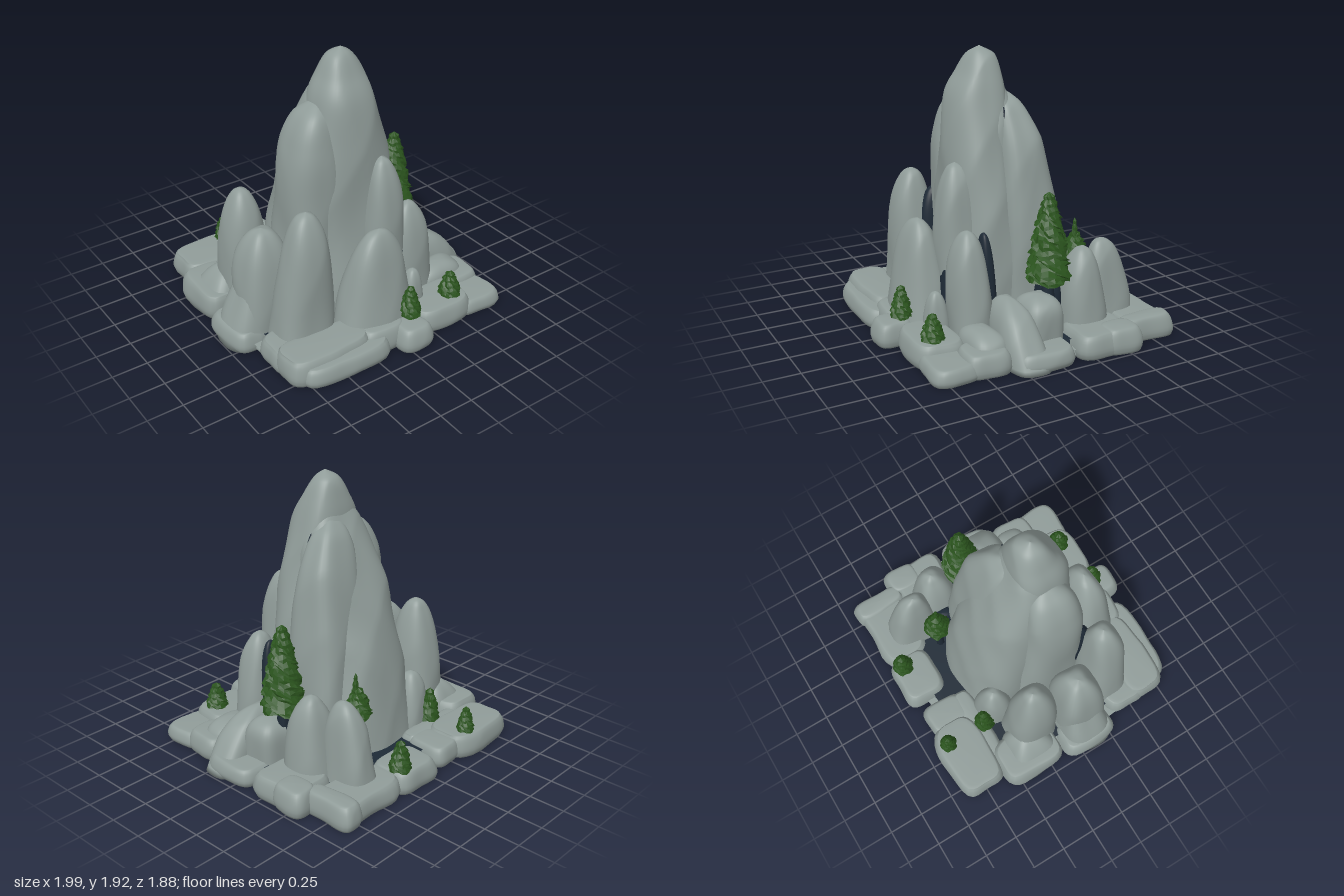
import * as THREE from 'three';

const stone = new THREE.MeshStandardMaterial({ color: 0x909c99 });
stone.name = 'grey stone';
const shade = new THREE.MeshStandardMaterial({ color: 0x1e2a36 });
shade.name = 'dark crevice';
const needles = new THREE.MeshStandardMaterial({ color: 0x2a531d });
needles.name = 'pine green';

// Repeatable bumps with sharp creases, roughly -1..1
const crease = v => 1 - 2 * Math.abs(Math.sin(v));
const bump = (x, y, z, s) =>
  (Math.sin(x * 9 + y * 4 + s) + Math.sin(z * 10 - y * 5 + s * 2.3) +
   crease((x + z) * 7 + y * 3 + s * 1.7) * 0.7 + crease((x - z) * 8 - y * 5 + s * 3.1) * 0.6) / 3;

// Lofts rows of [y, centreX, centreZ, radiusX, radiusZ] into a rock with squarish sections
function loft(name, rows, { n = 2.8, seed = 1, rough = 0.02, rings = 20, sides = 40, mat = stone } = {}) {
  const centres = new THREE.CatmullRomCurve3(rows.map(r => new THREE.Vector3(r[1], r[0], r[2])), false, 'catmullrom', 0.5);
  const radii = new THREE.CatmullRomCurve3(rows.map(r => new THREE.Vector3(r[3], 0, r[4])), false, 'catmullrom', 0.5);
  const pos = [], idx = [];
  const [y0, bx, bz] = rows[0];
  pos.push(bx, y0, bz);
  for (let j = 0; j <= rings; j++) {
    const c = centres.getPoint(j / rings), r = radii.getPoint(j / rings);
    for (let i = 0; i < sides; i++) {
      const a = (i / sides) * Math.PI * 2, ca = Math.cos(a), sa = Math.sin(a);
      const k = Math.pow(Math.abs(ca) ** n + Math.abs(sa) ** n, -1 / n);
      const x = c.x + ca * k * Math.max(r.x, 0), z = c.z + sa * k * Math.max(r.z, 0);
      const d = bump(x, c.y, z, seed) * rough * Math.min(1, Math.max(r.x, 0) / 0.08);
      pos.push(x + ca * d, Math.max(c.y, y0), z + sa * d);
    }
  }
  for (let i = 0; i < sides; i++) {
    const i2 = (i + 1) % sides;
    idx.push(0, 1 + i, 1 + i2);
    for (let j = 0; j < rings; j++) {
      const a = 1 + j * sides + i, b = 1 + j * sides + i2;
      idx.push(a, a + sides, b, b, a + sides, b + sides);
    }
  }
  const g = new THREE.BufferGeometry();
  g.setAttribute('position', new THREE.Float32BufferAttribute(pos, 3));
  g.setIndex(idx);
  g.computeVertexNormals();
  const m = new THREE.Mesh(g, mat);
  m.name = name;
  return m;
}

// Round-topped rock; p sets how late it closes, (lx, lz) shifts its top, flare widens its foot
function dome(name, x, z, rx, rz, h, { p = 2.5, lx = 0, lz = 0, y0 = 0, flare = 0, ...o } = {}) {
  const rows = [0, 0.25, 0.5, 0.7, 0.83, 0.92, 0.975, 1].map(t => {
    const f = Math.sqrt(Math.max(0, 1 - t ** p)) * (1 + flare * (1 - t) ** 2);
    return [y0 + (h - y0) * t, x + lx * t, z + lz * t, rx * f, rz * f];
  });
  return loft(name, rows, { rings: 21, ...o });
}

// Flat slab with a softened rim, given by its extents
function slab(name, x0, x1, z0, z1, h, { y0 = 0, ...o } = {}) {
  const x = (x0 + x1) / 2, z = (z0 + z1) / 2, w = (x1 - x0) / 2, d = (z1 - z0) / 2;
  const rows = [[0, 0.012], [0.3, 0], [0.7, 0.01], [0.94, 0.028], [1, 0.055], [1.02, 1]]
    .map(([t, inset]) => [y0 + (h - y0) * t, x, z, Math.max(w - inset, 0), Math.max(d - inset, 0)]);
  return loft(name, rows, { n: 4.2, rings: 15, ...o });
}

// Pine with drooping, ragged tiers; a low power makes it plump
function pine(name, x, z, y0, y1, r, tiers, power, trunkY) {
  const g = new THREE.Group();
  g.name = name;
  const h = y1 - y0, pts = [new THREE.Vector2(0, 0)];
  const width = t => r * Math.max(0, 1 - t) ** power;
  for (let i = 0; i < tiers; i++) {
    const t = i / tiers, w = width(t) * (i === 0 ? 0.92 : 1);
    pts.push(new THREE.Vector2(w, h * t), new THREE.Vector2(w * 0.92, h * (t + 0.4 / tiers)),
      new THREE.Vector2(width(t + 1 / tiers) * 0.8, h * (t + 0.97 / tiers)));
  }
  pts.push(new THREE.Vector2(0, h));
  const lathe = new THREE.LatheGeometry(pts, 18), p = lathe.attributes.position;
  for (let i = 0; i < p.count; i++) {
    const px = p.getX(i), py = p.getY(i), pz = p.getZ(i), a = Math.atan2(px, pz);
    const k = 1 + 0.08 * Math.sin(a * 5 + py * 60) + 0.05 * Math.sin(a * 8 - py * 95);
    p.setXYZ(i, px * k, py + Math.hypot(px, pz) * 0.1 * Math.sin(a * 4 + py * 40), pz * k);
  }
  const flat = lathe.toNonIndexed();
  flat.computeVertexNormals();
  const leaves = new THREE.Mesh(flat, needles);
  leaves.name = 'foliage';
  leaves.position.set(x, y0, z);
  const trunk = new THREE.Mesh(new THREE.CylinderGeometry(r * 0.2, r * 0.3, y0 - trunkY + 0.03, 8), shade);
  trunk.name = 'trunk';
  trunk.position.set(x, (y0 + trunkY) / 2 + 0.015, z);
  g.add(leaves, trunk);
  return g;
}

export function createModel() {
  const model = new THREE.Group();
  model.name = 'rockyMountain';

  // Ground and the dark fill seen in the crevices
  const dark = { mat: shade, p: 5, y0: 0.06, rough: 0.01 };
  model.add(
    slab('groundPlate', -0.86, 0.86, -0.78, 0.8, 0.06),
    slab('creviceFloor', -0.78, 0.78, -0.72, 0.7, 0.1, { mat: shade, y0: 0.04 }),
    dome('leftCrevice', -0.38, 0.27, 0.08, 0.13, 0.9, dark),
    dome('rightCrevice', 0.19, 0.42, 0.08, 0.09, 0.66, dark),
    dome('rightSideCrevice', 0.36, 0.235, 0.09, 0.05, 0.77, { ...dark, p: 3.5, lz: 0.03 }),
    dome('trunkCrevice', 0.48, -0.15, 0.13, 0.08, 0.46, dark),
    dome('backCrevice', 0.4, -0.38, 0.08, 0.13, 0.34, dark),
    loft('peakCrevice', [[0.9, 0.27, 0.03, 0.08, 0.02], [1.2, 0.23, 0.03, 0.08, 0.02], [1.4, 0.17, 0.03, 0.08, 0.018],
      [1.54, 0.13, 0.03, 0.06, 0.014], [1.62, 0.11, 0.03, 0, 0]], { mat: shade, rough: 0.004 }),
  );

  // Main peak: four tall columns leaning together
  model.add(
    loft('peakFrontColumn', [[0, 0, 0.08, 0.38, 0.36], [0.6, 0, 0.1, 0.36, 0.3], [1, -0.02, 0.13, 0.33, 0.24],
      [1.3, -0.02, 0.14, 0.28, 0.205], [1.6, -0.03, 0.13, 0.225, 0.185], [1.76, -0.02, 0.11, 0.155, 0.135],
      [1.87, -0.02, 0.1, 0.085, 0.08], [1.925, -0.02, 0.1, 0, 0]], { seed: 2, rings: 46, sides: 56, n: 2.5, rough: 0.026 }),
    loft('peakLeftColumn', [[0, -0.28, 0.06, 0.22, 0.3], [0.6, -0.28, 0.08, 0.2, 0.26], [1.1, -0.29, 0.1, 0.19, 0.22],
      [1.35, -0.27, 0.1, 0.165, 0.18], [1.5, -0.24, 0.1, 0.125, 0.14], [1.57, -0.21, 0.1, 0.07, 0.08],
      [1.6, -0.2, 0.1, 0, 0]], { seed: 5, rings: 36 }),
    loft('peakRightColumn', [[0, 0.2, -0.14, 0.24, 0.23], [0.6, 0.2, -0.13, 0.22, 0.21], [1, 0.18, -0.11, 0.21, 0.18],
      [1.3, 0.15, -0.08, 0.19, 0.15], [1.5, 0.1, -0.05, 0.14, 0.105], [1.6, 0.06, -0.02, 0.08, 0.06],
      [1.66, 0.04, 0, 0, 0]], { seed: 8, rings: 40, n: 4 }),
    loft('peakBackColumn', [[0, -0.03, -0.2, 0.36, 0.34], [0.6, -0.03, -0.16, 0.35, 0.3], [1, -0.03, -0.1, 0.33, 0.25],
      [1.3, -0.03, -0.03, 0.29, 0.21], [1.55, -0.03, 0.03, 0.22, 0.15], [1.72, -0.03, 0.07, 0.13, 0.1],
      [1.82, -0.03, 0.09, 0, 0]], { seed: 11, rings: 44, sides: 56, n: 2.6, rough: 0.026 }),
  );

  // Spires around the peak: x, z, radiusX, radiusZ, height
  const spires = [
    ['highFrontSpire', 0.16, 0.33, 0.15, 0.155, 1.2, { p: 6, lz: 0.03, lx: -0.03 }],
    ['leftFrontSpire', -0.55, 0.4, 0.17, 0.15, 1.01, { p: 4, lx: 0.05, flare: 0.3 }],
    ['leftBackSpire', -0.61, -0.23, 0.15, 0.16, 0.93, { p: 4, flare: 0.2 }],
    ['leftShoulder', -0.66, 0.11, 0.19, 0.18, 0.8, { p: 4.5, n: 3.5 }],
    ['leftSkirt', -0.76, 0.1, 0.22, 0.2, 0.6, { p: 1.3, lx: 0.08, n: 3.5 }],
    ['frontSpire', -0.07, 0.56, 0.25, 0.16, 0.8, { p: 2.4, lx: 0.04, flare: 0.25 }],
    ['rightFrontSpire', 0.38, 0.38, 0.155, 0.13, 0.8, { p: 4, lx: -0.03 }],
    ['smallFrontRock', 0.26, 0.57, 0.09, 0.09, 0.38, { p: 3.5 }],
    ['rightBackSpire', 0.59, -0.35, 0.155, 0.15, 0.65, { p: 3.6, flare: 0.15 }],
    ['backSpire', 0.5, -0.61, 0.125, 0.17, 0.645, { p: 3.2, lz: 0.06, flare: 0.2 }],
    ['leftRearRock', -0.36, -0.4, 0.13, 0.13, 0.5, { p: 2.8 }],
    ['leftRearFoot', -0.76, -0.32, 0.18, 0.21, 0.3, { p: 2, lx: 0.06, n: 3.4 }],
    ['rightSlope', 0.75, 0.19, 0.23, 0.13, 0.38, { p: 3, lx: -0.2, n: 4 }],
    ['treeLedge', 0.62, 0, 0.17, 0.15, 0.39, { p: 7, n: 4 }],
    ['rightFrontLedge', 0.6, 0.41, 0.2, 0.13, 0.23, { p: 4, n: 3.5 }],
  ];
  spires.forEach(([name, x, z, rx, rz, h, o], i) => model.add(dome(name, x, z, rx, rz, h, { seed: i * 2.7, ...o })));

  // Broad slabs along the foot: x range, z range, height
  const slabs = [
    [-0.87, -0.27, -0.93, -0.56, 0.16], [-0.36, -0.1, -0.88, -0.55, 0.14], [-0.06, 0.33, -0.94, -0.6, 0.15],
    [0.28, 0.87, -0.92, -0.55, 0.14], [0.7, 0.89, -0.92, -0.52, 0.16], [0.58, 0.98, -0.58, -0.14, 0.16],
    [0.76, 0.98, -0.6, -0.34, 0.17], [-0.96, -0.6, -0.61, -0.12, 0.18], [-0.72, -0.12, -0.66, -0.47, 0.14],
    [-0.98, -0.7, -0.12, 0.31, 0.14], [-0.88, -0.35, 0.31, 0.66, 0.15], [-0.86, -0.22, 0.5, 0.83, 0.175],
    [-0.8, -0.12, 0.57, 0.9, 0.13], [-0.3, 0.06, 0.52, 0.82, 0.17], [-0.06, 0.2, 0.66, 0.93, 0.16],
    [0.14, 0.63, 0.5, 0.85, 0.16], [0.5, 0.87, 0.5, 0.85, 0.11], [0.58, 0.88, 0.31, 0.62, 0.15],
    [0.66, 0.98, -0.12, 0.31, 0.12],
  ];
  slabs.forEach(([x0, x1, z0, z1, h], i) => model.add(slab('footSlab' + (i + 1), x0, x1, z0, z1, h, { seed: i * 1.9 })));

  // Pines: x, z, foliage bottom and top, radius, tiers, fullness, trunk foot
  model.add(
    pine('tallPine', 0.59, -0.09, 0.46, 1.06, 0.155, 13, 0.56, 0.34),
    pine('backPine', 0.29, -0.48, 0.44, 0.64, 0.105, 5, 0.6, 0.08),
    pine('backPineTip', 0.3, -0.47, 0.6, 0.74, 0.025, 3, 0.6, 0.55),
    pine('leftRearPine', -0.43, -0.52, 0.14, 0.38, 0.08, 5, 0.6, 0.08),
    pine('frontPine', 0.1, 0.75, 0.18, 0.4, 0.083, 6, 0.6, 0.14),
    pine('frontRightPine', 0.49, 0.7, 0.16, 0.34, 0.087, 5, 0.6, 0.12),
    pine('backLeftPine', -0.44, -0.83, 0.16, 0.34, 0.067, 5, 0.6, 0.12),
    pine('backRightPine', 0.25, -0.82, 0.15, 0.36, 0.083, 5, 0.6, 0.12),
  );
  return model;
}
